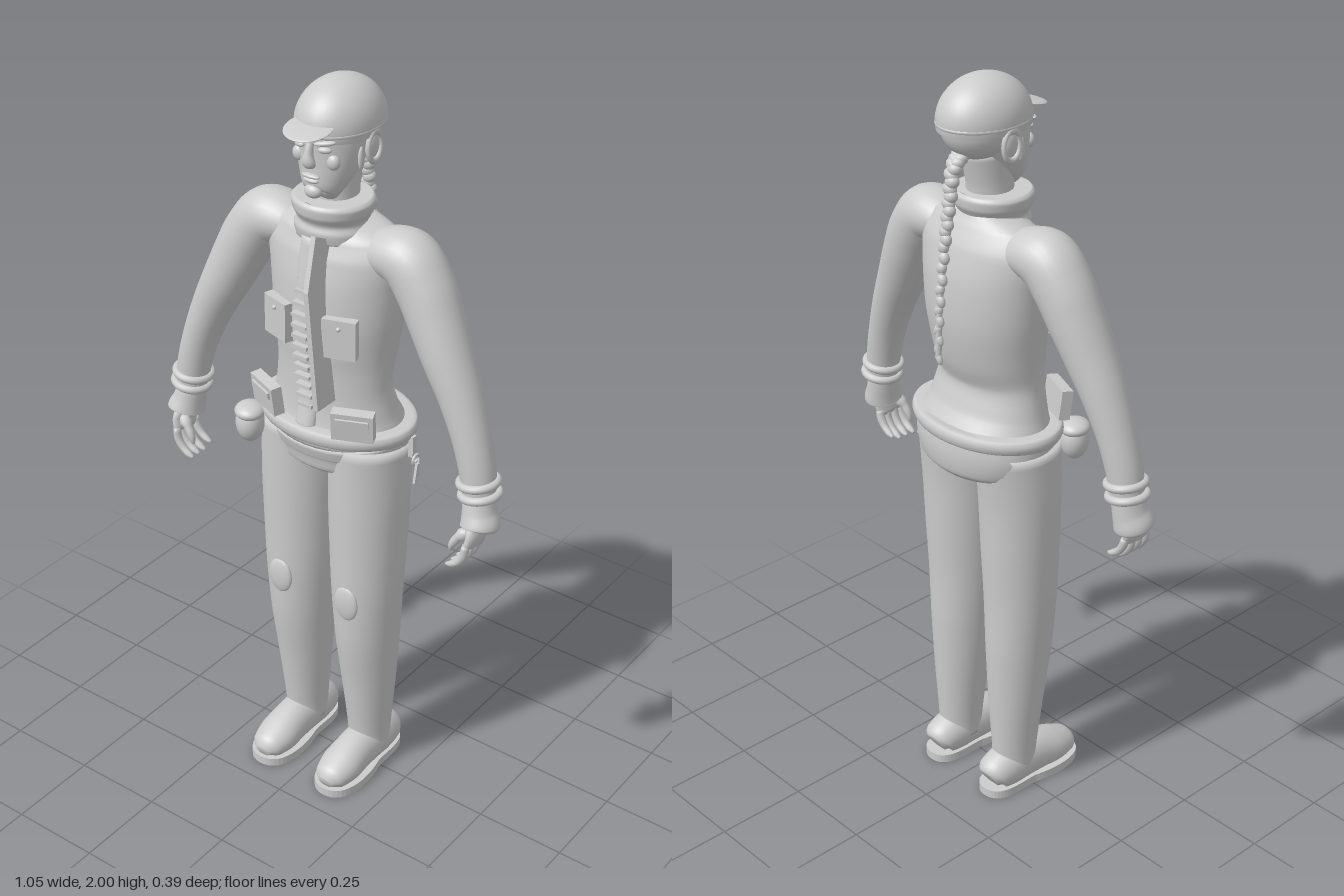
import * as THREE from 'three';

const grey = new THREE.MeshStandardMaterial({ color: 0xcccccc });
grey.name = 'plain grey';

// Smooth tapered body through stations [x, y, z, sideRadius, depthRadius]
function sweep(stations, { steps = 6, sides = 28, ref = new THREE.Vector3(0, 0, 1), minY = -1 } = {}) {
  const path = new THREE.CatmullRomCurve3(stations.map(s => new THREE.Vector3(s[0], s[1], s[2])));
  const radii = new THREE.CatmullRomCurve3(stations.map(s => new THREE.Vector3(s[3], s[4] ?? s[3], 0)));
  const rings = (stations.length - 1) * steps, pos = [], idx = [];
  const first = path.getPoint(0), last = path.getPoint(1);
  for (let i = 0; i <= rings; i++) {
    const t = i / rings, c = path.getPoint(t), r = radii.getPoint(t), T = path.getTangent(t);
    const S = new THREE.Vector3().crossVectors(T, ref).normalize();
    const D = new THREE.Vector3().crossVectors(S, T);
    for (let j = 0; j < sides; j++) {
      const a = j / sides * Math.PI * 2;
      const p = c.clone().addScaledVector(S, Math.cos(a) * r.x).addScaledVector(D, Math.sin(a) * r.y);
      pos.push(p.x, Math.max(p.y, minY), p.z);
      if (i < rings) {
        const k = i * sides + j, n = i * sides + (j + 1) % sides;
        idx.push(k, k + sides, n, n, k + sides, n + sides);
      }
    }
  }
  // end caps
  const base = pos.length / 3, top = rings * sides;
  pos.push(first.x, Math.max(first.y, minY), first.z, last.x, Math.max(last.y, minY), last.z);
  for (let j = 0; j < sides; j++) {
    const n = (j + 1) % sides;
    idx.push(base, j, n, base + 1, top + n, top + j);
  }
  const g = new THREE.BufferGeometry();
  g.setAttribute('position', new THREE.Float32BufferAttribute(pos, 3));
  g.setIndex(idx);
  g.computeVertexNormals();
  return g;
}

// Upright body from [y, z, rx, rz]
const loft = (rows, x = 0, o) => sweep(rows.map(([y, z, rx, rz]) => [x, y, z, rx, rz]), o);
const ball = (rx, ry, rz) => new THREE.SphereGeometry(1, 32, 20).scale(rx, ry, rz);
const box = (w, h, d) => new THREE.BoxGeometry(w, h, d);

export function createModel() {
  const model = new THREE.Group();
  const add = (name, geo, p = [0, 0, 0], r = [0, 0, 0], parent = model) => {
    const m = new THREE.Mesh(geo, grey);
    m.name = name;
    m.position.set(...p);
    m.rotation.set(...r);
    parent.add(m);
    return m;
  };

  // Jacket, collar, belt and hips
  add('jacket', loft([[1.08, -.02, .2, .145], [1.14, -.012, .178, .118], [1.22, -.005, .162, .105], [1.3, -.014, .166, .12],
    [1.4, -.02, .18, .13], [1.5, -.022, .19, .125], [1.58, -.02, .2, .108], [1.63, -.015, .17, .085], [1.66, -.01, .08, .07]], 0, { sides: 40 }));
  add('collar', loft([[1.61, 0, .1, .085], [1.635, 0, .1, .09], [1.655, 0, .092, .085], [1.68, 0, .102, .098],
    [1.7, 0, .105, .1], [1.712, 0, .092, .09], [1.7, 0, .06, .06]], 0, { sides: 36 }));
  add('belt', loft([[1.078, -.02, .2, .14], [1.08, -.02, .218, .157], [1.098, -.02, .225, .162], [1.114, -.02, .218, .157],
    [1.116, -.02, .19, .13]], 0, { sides: 48, steps: 3 }));
  add('hips', loft([[.95, -.03, .06, .05], [.965, -.03, .13, .105], [.99, -.03, .185, .135], [1.04, -.03, .205, .145],
    [1.09, -.02, .208, .148]], 0, { sides: 40 }));

  // Zip strip with teeth
  add('zipStrip', sweep([[-.008, 1.1, .108, .03, .02], [-.008, 1.2, .092, .03, .014], [-.008, 1.3, .1, .03, .014],
    [-.008, 1.4, .104, .03, .014], [-.008, 1.5, .097, .03, .014], [-.008, 1.62, .075, .03, .014]]));
  for (let i = 0; i < 18; i++) {
    const y = 1.11 + i * .029;
    const z = .109 + .014 * Math.cos((y - 1.4) * 9) - .05 * Math.max(0, y - 1.45) / .15;
    add('zipTooth', box(.045, .009, .022), [-.008, y, z]);
  }
  const flap = new THREE.Shape([[.12, .23], [.165, .1], [.162, -.22], [.09, -.22], [.1, 0], [.06, .2]]
    .map(p => new THREE.Vector2(...p)));
  add('openLapel', new THREE.ExtrudeGeometry(flap, { depth: .014, bevelEnabled: false }).rotateY(-Math.PI / 2),
    [.055, 1.42, 0], [0, 0, .08]);

  // Head
  add('neck', loft([[1.64, -.01, .06, .06], [1.72, -.01, .057, .06], [1.82, -.02, .06, .07]]));
  add('face', loft([[1.724, .056, .02, .018], [1.73, .05, .042, .036], [1.755, .04, .058, .052], [1.8, .022, .077, .07],
    [1.85, .004, .088, .09], [1.9, -.01, .09, .1], [1.93, -.02, .07, .09]], 0, { sides: 36 }));
  add('backOfHead', ball(.09, .085, .098), [0, 1.88, -.045]);
  add('nose', sweep([[0, 1.875, .09, .009, .008], [0, 1.845, .097, .011, .012], [0, 1.822, .098, .018, .014],
    [0, 1.812, .09, .014, .01]], { sides: 14 }));
  add('upperLip', ball(.026, .006, .01), [0, 1.786, .09]);
  add('lowerLip', ball(.022, .007, .01), [0, 1.774, .088]);
  add('chin', ball(.024, .018, .018), [0, 1.744, .08]);
  for (const s of [-1, 1]) {
    add('eye', ball(.017, .008, .009), [s * .037, 1.857, .084], [0, s * .35, 0]);
    add('brow', ball(.027, .007, .01), [s * .04, 1.876, .087], [0, s * .4, s * .15]);
    add('cheek', ball(.018, .02, .014), [s * .05, 1.825, .068]);
    add('ear', ball(.012, .034, .024), [s * .09, 1.845, -.03]);
    add('earRim', new THREE.TorusGeometry(.03, .007, 10, 28).scale(.85, 1.25, 1), [s * .097, 1.845, -.03], [0, Math.PI / 2, 0]);
    add('sideLock', ball(.007, .03, .01), [s * .088, 1.825, .01]);
  }

  // Cap
  add('capCrown', new THREE.SphereGeometry(1, 40, 18, 0, Math.PI * 2, 0, Math.PI * .56).scale(.102, .108, .128), [0, 1.892, -.028]);
  add('capRim', new THREE.TorusGeometry(1, .05, 10, 44).rotateX(Math.PI / 2).scale(.098, .12, .123), [0, 1.889, -.028]);
  add('visor', ball(.062, .007, .062), [0, 1.908, .095], [.2, 0, 0]);

  // Braid made of overlapping plaits
  const braid = new THREE.CatmullRomCurve3([[1.815, -.1], [1.79, -.125], [1.7, -.142], [1.6, -.158], [1.45, -.176], [1.31, -.183]]
    .map(([y, z]) => new THREE.Vector3(0, y, z)));
  add('braidCore', new THREE.TubeGeometry(braid, 40, .008, 10));
  for (let i = 0; i <= 28; i++) {
    const t = i / 28, p = braid.getPoint(t), k = 1 - .62 * t;
    add('braidPlait', new THREE.SphereGeometry(1, 14, 10).scale(.025 * k, .017, .02 * k),
      [(i % 2 ? 1 : -1) * .003, p.y, p.z], [0, 0, i % 2 ? .4 : -.4]);
  }

  for (const s of [-1, 1]) {
    const side = s > 0 ? 'left' : 'right';

    // Arm, bangles, cuff and hand
    const arm = new THREE.Group();
    arm.name = side + 'Arm';
    model.add(arm);
    const limb = (name, pts, o) => add(name, sweep(pts.map(([x, ...q]) => [s * x, ...q]), o), [0, 0, 0], [0, 0, 0], arm);
    limb('sleeve', [[.1, 1.57, -.02, .05, .06], [.16, 1.592, -.02, .064, .075], [.215, 1.585, -.018, .075, .078],
      [.262, 1.53, -.014, .074, .076], [.3, 1.46, -.008, .07, .073], [.34, 1.38, 0, .064, .068], [.385, 1.29, .006, .056, .06],
      [.425, 1.19, .012, .049, .052], [.45, 1.1, .016, .046, .047], [.46, 1.03, .018, .043, .043]]);
    for (const y of [1.072, 1.04]) {
      add('bangle', new THREE.TorusGeometry(.047, .011, 12, 32), [s * (.455 + (1.07 - y) * .2), y, .017], [Math.PI / 2, s * .16, 0], arm);
    }
    limb('cuff', [[.458, 1.035, .018, .038, .042], [.466, .99, .024, .043, .048], [.474, .958, .03, .05, .054], [.474, .95, .032, .03, .035]]);
    limb('palm', [[.468, .97, .035, .022, .036], [.472, .94, .042, .019, .044], [.467, .915, .046, .016, .044], [.463, .905, .047, .006, .036]]);
    for (let f = 0; f < 4; f++) {
      const z = .008 + f * .025, d = f === 0 ? .012 : 0;
      limb('finger', [[.466, .92, z, .009, .011], [.462, .89 + d, z, .011, .012], [.448, .867 + d, z, .01, .011],
        [.428, .852 + d, z, .009, .01], [.412, .846 + d, z, .004, .005]], { steps: 3, sides: 12 });
    }
    limb('thumb', [[.462, .952, .06, .012, .012], [.438, .93, .07, .012, .012], [.422, .905, .074, .01, .01], [.416, .884, .074, .004, .004]],
      { steps: 3, sides: 12 });

    // Trouser leg and knee patch
    add(side + 'Leg', loft([[.06, -.022, .056, .06], [.12, -.022, .058, .064], [.3, -.016, .074, .08], [.45, -.008, .086, .093],
      [.6, -.004, .096, .098], [.75, -.006, .103, .103], [.9, -.008, .107, .108], [1.06, -.015, .102, .118]], s * .109, { sides: 32 }));
    add('kneePatch', ball(.037, .052, .012), [s * .109, .592, .092]);

    // Shoe
    add(side + 'Shoe', sweep([[s * .11, .045, -.115, .03, .03], [s * .11, .055, -.1, .05, .05], [s * .11, .064, -.04, .056, .064],
      [s * .11, .062, .04, .055, .062], [s * .11, .052, .11, .058, .052], [s * .11, .043, .165, .046, .036], [s * .11, .036, .186, .02, .014]],
      { ref: new THREE.Vector3(0, 1, 0), minY: .02 }));
    const outline = new THREE.Shape();
    outline.moveTo(0, -.195);
    outline.bezierCurveTo(.085, -.195, .07, -.06, .055, -.01);
    outline.bezierCurveTo(.05, .04, .07, .135, 0, .135);
    outline.bezierCurveTo(-.07, .135, -.05, .04, -.055, -.01);
    outline.bezierCurveTo(-.07, -.06, -.085, -.195, 0, -.195);
    add(side + 'Sole', new THREE.ExtrudeGeometry(outline, { depth: .024, bevelEnabled: false, curveSegments: 16 }).rotateX(-Math.PI / 2),
      [s * .11, 0, 0]);

    // Chest pocket with stud, belt pouch with flap
    const pocket = new THREE.Group();
    pocket.name = side + 'ChestPocket';
    pocket.position.set(s * .094, 1.387, .1);
    pocket.rotation.y = s * .3;
    model.add(pocket);
    add('pocketPanel', box(.088, .105, .025), [0, 0, 0], [0, 0, 0], pocket);
    add('pocketStud', ball(.006, .006, .006), [0, .03, .013], [0, 0, 0], pocket);
    const pouch = new THREE.Group();
    pouch.name = side + 'BeltPouch';
    pouch.position.set(s * .135, 1.155, .1);
    pouch.rotation.y = s * .4;
    model.add(pouch);
    add('pouchBody', box(.108, .08, .03), [0, 0, 0], [.12, 0, 0], pouch);
    add('pouchFlap', box(.085, .018, .008), [0, .015, .019], [.12, 0, 0], pouch);
  }

  // Round bag and key clip on the belt
  add('roundBag', ball(.038, .055, .042), [-.188, 1.055, .108], [0, .6, 0]);
  add('bagLid', ball(.04, .022, .044), [-.188, 1.088, .108], [0, .6, 0]);
  add('keyClip', box(.014, .06, .016), [.222, 1.06, -.035]);
  add('keyRing', new THREE.TorusGeometry(.014, .004, 8, 20), [.234, 1.024, -.035], [0, Math.PI / 2, 0]);
  for (const i of [-1, 1]) add('key', box(.007, .055, .013), [.237 + i * .006, .992, -.035 + i * .01], [i * -.2, 0, 0]);
  return model;
}
